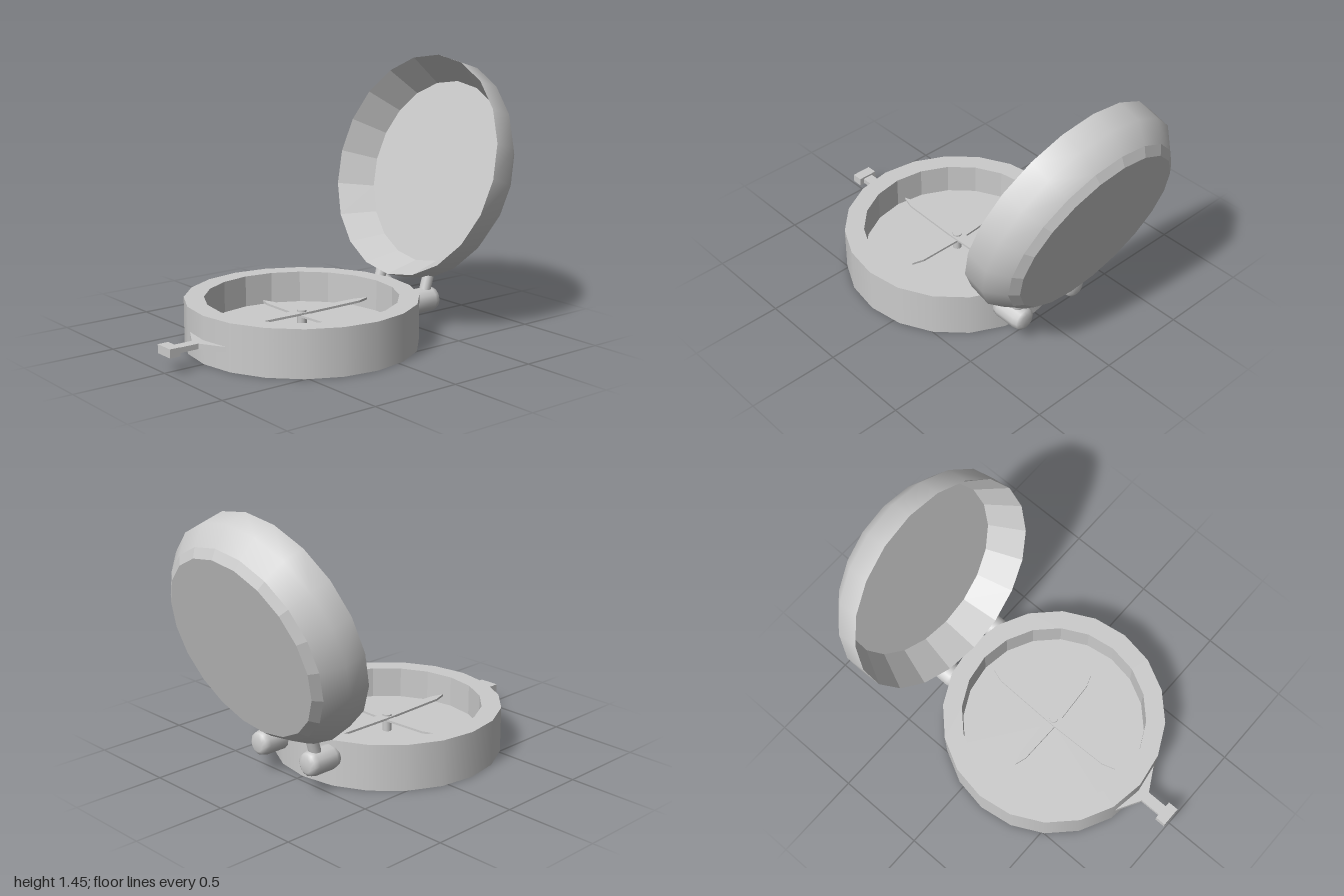
import * as THREE from 'three';

const SIDES = 20;
const smooth = new THREE.MeshStandardMaterial({ color: 0xcccccc });
const flat = new THREE.MeshStandardMaterial({ color: 0xcccccc, flatShading: true });

function add(parent, name, geometry, material, x = 0, y = 0, z = 0) {
  const mesh = new THREE.Mesh(geometry, material);
  mesh.name = name;
  mesh.position.set(x, y, z);
  parent.add(mesh);
  return mesh;
}

// Revolve [radius, height] pairs around y
const lathe = (points, sides = SIDES) =>
  new THREE.LatheGeometry(points.map(([r, h]) => new THREE.Vector2(r, h)), sides);

// Extrude an outline drawn in (x, z) so that it lies flat, centred on y = 0
function plate(points, thickness) {
  const shape = new THREE.Shape(points.map(([x, z]) => new THREE.Vector2(x, -z)));
  return new THREE.ExtrudeGeometry(shape, { depth: thickness, bevelEnabled: false })
    .translate(0, 0, -thickness / 2)
    .rotateX(-Math.PI / 2);
}

// Slim pointed bar along z
function needle(length, shoulder, middle, end) {
  return plate([
    [0, length], [end, shoulder], [middle, 0], [end, -shoulder],
    [0, -length], [-end, -shoulder], [-middle, 0], [-end, shoulder],
  ], 0.012);
}

export function createModel() {
  const model = new THREE.Group();
  model.name = 'compass';

  // Open round case with a recessed dial
  const base = new THREE.Group();
  base.name = 'case';
  base.position.z = 0.155;
  model.add(base);
  add(base, 'caseWall', lathe([[0.615, 0], [0.615, 0.25]]), smooth);
  add(base, 'caseBottom', lathe([[0, 0], [0.615, 0]]), flat);
  add(base, 'caseRimAndDial', lathe([[0.615, 0.25], [0.51, 0.25], [0.51, 0.08], [0, 0.08]]), flat);

  // Crossed needles on a pin
  add(base, 'pivotPin', new THREE.CylinderGeometry(0.025, 0.025, 0.1, 10), smooth, 0, 0.125, 0);
  add(base, 'longNeedle', needle(0.445, 0.37, 0.033, 0.024), flat, 0, 0.16, 0);
  add(base, 'crossNeedle', needle(0.335, 0.27, 0.033, 0.022), flat, 0, 0.15, 0)
    .rotation.y = Math.PI / 2 + 0.03;

  // Front catch: flared tab with a small block at its end
  const tab = [[-0.18, 0.735], [-0.03, 0.82], [-0.03, 0.95], [0.03, 0.95], [0.03, 0.82], [0.18, 0.735]];
  add(model, 'catchTab', plate(tab, 0.028), flat, 0, 0.11, 0);
  add(model, 'catchBlock', new THREE.BoxGeometry(0.112, 0.046, 0.06), flat, 0, 0.112, 0.97);

  // Tilted lid; its local y axis points out of the back
  const tilt = 0.294;
  const lid = new THREE.Group();
  lid.name = 'lid';
  lid.position.set(0, 0.863, -0.611);
  lid.rotation.x = -(Math.PI / 2 + tilt);
  model.add(lid);
  add(lid, 'lidInside', lathe([[0, 0.186], [0.51, 0.186], [0.615, 0]]), flat);
  add(lid, 'lidShell', lathe([[0.615, 0], [0.615, 0.125], [0.535, 0.222]]), smooth);
  add(lid, 'lidBack', lathe([[0.535, 0.222], [0.492, 0.257], [0, 0.257]]), flat);

  // Two hinges: rounded barrel and leaning post
  const barrel = [[0, -0.102], [0.04, -0.102], [0.06, -0.088], [0.067, -0.06],
    [0.067, 0.06], [0.06, 0.088], [0.04, 0.102], [0, 0.102]];
  for (const x of [-0.174, 0.199]) {
    const hinge = new THREE.Group();
    hinge.name = x > 0 ? 'leftHinge' : 'rightHinge';
    hinge.position.x = x;
    model.add(hinge);
    add(hinge, 'hingeBarrel', lathe(barrel, 12), smooth, 0, 0.157, -0.496).rotation.x = Math.PI / 2;
    add(hinge, 'hingePost', new THREE.CylinderGeometry(0.032, 0.032, 0.15, 12), smooth, 0, 0.215, -0.531)
      .rotation.x = -tilt;
  }

  return model;
}
